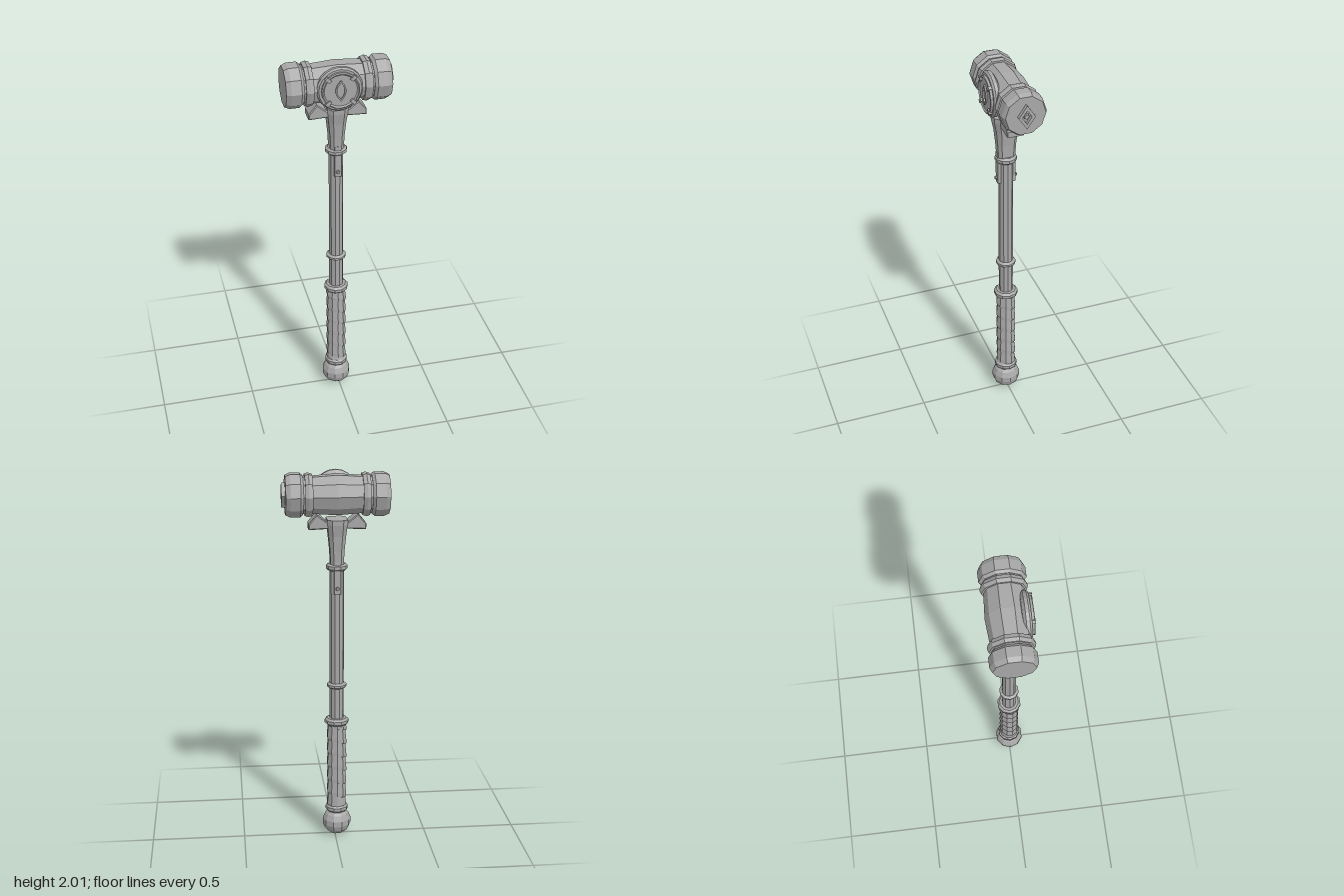
import * as THREE from 'three';

const metal = new THREE.MeshStandardMaterial({ color: 0xa8a8a8, flatShading: true });
metal.name = 'grey metal';
const SIDES = 10;

function add(parent, name, geometry, x = 0, y = 0, z = 0) {
  const m = new THREE.Mesh(geometry, metal);
  m.name = name;
  m.position.set(x, y, z);
  parent.add(m);
  return m;
}

const lathe = (pts, sides = SIDES, start = Math.PI / 10) =>
  new THREE.LatheGeometry(pts.map(p => new THREE.Vector2(p[0], p[1])), sides, start);

function polygon(pts, Type = THREE.Shape) {
  return new Type(pts.map(p => new THREE.Vector2(p[0], p[1])));
}

const extrude = (shape, depth, bevel = 0) => new THREE.ExtrudeGeometry(shape, {
  depth, bevelEnabled: bevel > 0, bevelSize: bevel, bevelThickness: bevel, bevelSegments: 1, curveSegments: 5,
});

// Skin over stacked loops, each listed counter-clockwise seen from above (+y)
function loft(loops, closed, caps) {
  const n = loops[0].length, pos = loops.flat(2), idx = [];
  for (let i = 0; i < loops.length - 1; i++) {
    for (let j = 0; j < (closed ? n : n - 1); j++) {
      const a = i * n + j, b = i * n + (j + 1) % n;
      idx.push(a, b, b + n, a, b + n, a + n);
    }
  }
  if (caps) {
    const top = (loops.length - 1) * n;
    for (let j = 1; j < n - 1; j++) {
      idx.push(0, j + 1, j);
      idx.push(top, top + j, top + j + 1);
    }
  }
  const g = new THREE.BufferGeometry();
  g.setAttribute('position', new THREE.Float32BufferAttribute(pos, 3));
  g.setIndex(idx);
  g.computeVertexNormals();
  return g;
}

// Chamfered rectangle, counter-clockwise seen from above
function section(y, hx, hz) {
  const c = Math.min(hx, hz) * 0.45;
  return [[hx, hz - c], [hx, c - hz], [hx - c, -hz], [c - hx, -hz],
    [-hx, c - hz], [-hx, hz - c], [c - hx, hz], [hx - c, hz]].map(([x, z]) => [x, y, z]);
}

// Overlapping strip wound up the grip
function wrapGeometry(y0, y1, turns) {
  const pitch = (y1 - y0) / (turns - 1), loops = [];
  const profile = [[0.042, 0], [0.054, 0.004], [0.054, 0.022], [0.048, pitch + 0.004]];
  for (let i = 0; i <= turns * SIDES; i++) {
    const a = Math.PI / 10 + i / SIDES * Math.PI * 2;
    loops.push(profile.map(([r, h]) => [
      r * Math.cos(a),
      THREE.MathUtils.clamp(y0 - pitch + pitch * i / SIDES + h, y0, y1),
      r * Math.sin(a),
    ]));
  }
  return loft(loops, false, false);
}

function collar(parent, name, y0, y1, r) {
  const c = (y1 - y0) * 0.28;
  add(parent, name, lathe([[0, y0], [r - 0.012, y0], [r, y0 + c], [r, y1 - c], [r - 0.012, y1], [0, y1]]));
}

function buildHandle() {
  const g = new THREE.Group();
  g.name = 'handle';
  add(g, 'pommel', lathe([[0, 0], [0.036, 0.008], [0.066, 0.034], [0.077, 0.062],
    [0.077, 0.092], [0.064, 0.122], [0.045, 0.142], [0, 0.142]]));
  collar(g, 'lowerGripCollar', 0.137, 0.178, 0.062);
  add(g, 'gripCore', lathe([[0.046, 0.16], [0.046, 0.66]]));
  add(g, 'gripWrap', wrapGeometry(0.176, 0.648, 7));
  collar(g, 'upperGripCollar', 0.644, 0.682, 0.065);
  add(g, 'shaft', lathe([[0.038, 0.66], [0.038, 1.53]]));
  collar(g, 'middleCollar', 0.852, 0.88, 0.053);
  collar(g, 'upperCollar', 1.495, 1.532, 0.057);

  // Flared neck below the head
  add(g, 'neck', loft([section(1.52, 0.034, 0.044), section(1.6, 0.037, 0.049),
    section(1.68, 0.045, 0.057), section(1.74, 0.052, 0.069), section(1.766, 0.053, 0.07)], true, true));

  // Riveted straps on the front and back of the shaft
  for (const s of [1, -1]) {
    add(g, 'strap', new THREE.BoxGeometry(0.034, 0.175, 0.022), 0, 1.463, s * 0.037);
    const rivet = add(g, 'rivet', new THREE.CylinderGeometry(0.008, 0.011, 0.012, 8), 0, 1.405, s * 0.053);
    rivet.rotation.x = s * Math.PI / 2;
  }

  // Wedge-shaped brackets to each side of the neck
  for (const s of [1, -1]) {
    const pts = [[0.03, 1.725], [0.143, 1.72], [0.143, 1.743], [0.106, 1.788], [0.06, 1.752], [0.03, 1.752]];
    const shape = polygon(pts.map(([x, y]) => [s * x, y]));
    add(g, 'bracket', extrude(shape, 0.08, 0.005), 0, 0, -0.04);
  }
  return g;
}

function eyeShape(w, h, Type) {
  const s = new Type();
  s.moveTo(0, -h);
  s.quadraticCurveTo(2 * w, 0, 0, h);
  s.quadraticCurveTo(-2 * w, 0, 0, -h);
  return s;
}

function buildHead() {
  const g = new THREE.Group();
  g.name = 'head';
  const along = (name, pts) => { add(g, name, lathe(pts, SIDES, 0)).rotation.z = -Math.PI / 2; };
  const mirror = (pts, s) => s > 0 ? pts : pts.map(([r, x]) => [r, -x]).reverse();

  // Barrel, rings and striking caps
  along('barrel', [[0.098, -0.2], [0.098, -0.128], [0.107, 0], [0.098, 0.128], [0.098, 0.2]]);
  for (const s of [1, -1]) {
    along('ring', mirror([[0.09, 0.128], [0.108, 0.128], [0.114, 0.148], [0.108, 0.167], [0.09, 0.167]], s));
    along('cap', mirror([[0.09, 0.176], [0.102, 0.176], [0.114, 0.19], [0.114, 0.242], [0.103, 0.266], [0, 0.266]], s));
  }

  // Diamond boss on the left striking face
  const frame = polygon([[0.043, 0], [0, 0.063], [-0.043, 0], [0, -0.063]]);
  frame.holes.push(polygon([[0.024, 0], [0, -0.036], [-0.024, 0], [0, 0.036]], THREE.Path));
  add(g, 'diamondFrame', extrude(frame, 0.022), 0.263).rotation.y = Math.PI / 2;
  const stud = add(g, 'diamondStud', new THREE.CylinderGeometry(0.012, 0.016, 0.016, 8), 0.272);
  stud.rotation.z = -Math.PI / 2;

  // Round medallion on the front
  const medal = new THREE.Group();
  medal.name = 'medallion';
  g.add(medal);
  const rim = lathe([[0, 0.05], [0.1, 0.065], [0.116, 0.077], [0.116, 0.094], [0.108, 0.104],
    [0.096, 0.104], [0.096, 0.116], [0.09, 0.119], [0.083, 0.112], [0, 0.112]], 20, 0);
  add(medal, 'medallionDisc', rim).rotation.x = Math.PI / 2;
  const eye = eyeShape(0.027, 0.056, THREE.Shape);
  eye.holes.push(eyeShape(0.02, 0.044, THREE.Path));
  add(medal, 'medallionEye', extrude(eye, 0.009), 0, 0, 0.11);
  for (let i = 0; i < 4; i++) {
    const a = Math.PI / 4 + i * Math.PI / 2;
    const stop = add(medal, 'medallionStud', new THREE.BoxGeometry(0.03, 0.018, 0.02),
      0.088 * Math.cos(a), 0.088 * Math.sin(a), 0.111);
    stop.rotation.z = a;
  }
  return g;
}

export function createModel() {
  const model = new THREE.Group();
  model.name = 'warHammer';
  const handle = buildHandle();
  handle.position.set(-0.011, 0, 0.002);
  const head = buildHead();
  head.position.set(-0.011, 1.891, -0.005);
  model.add(handle, head);
  return model;
}
